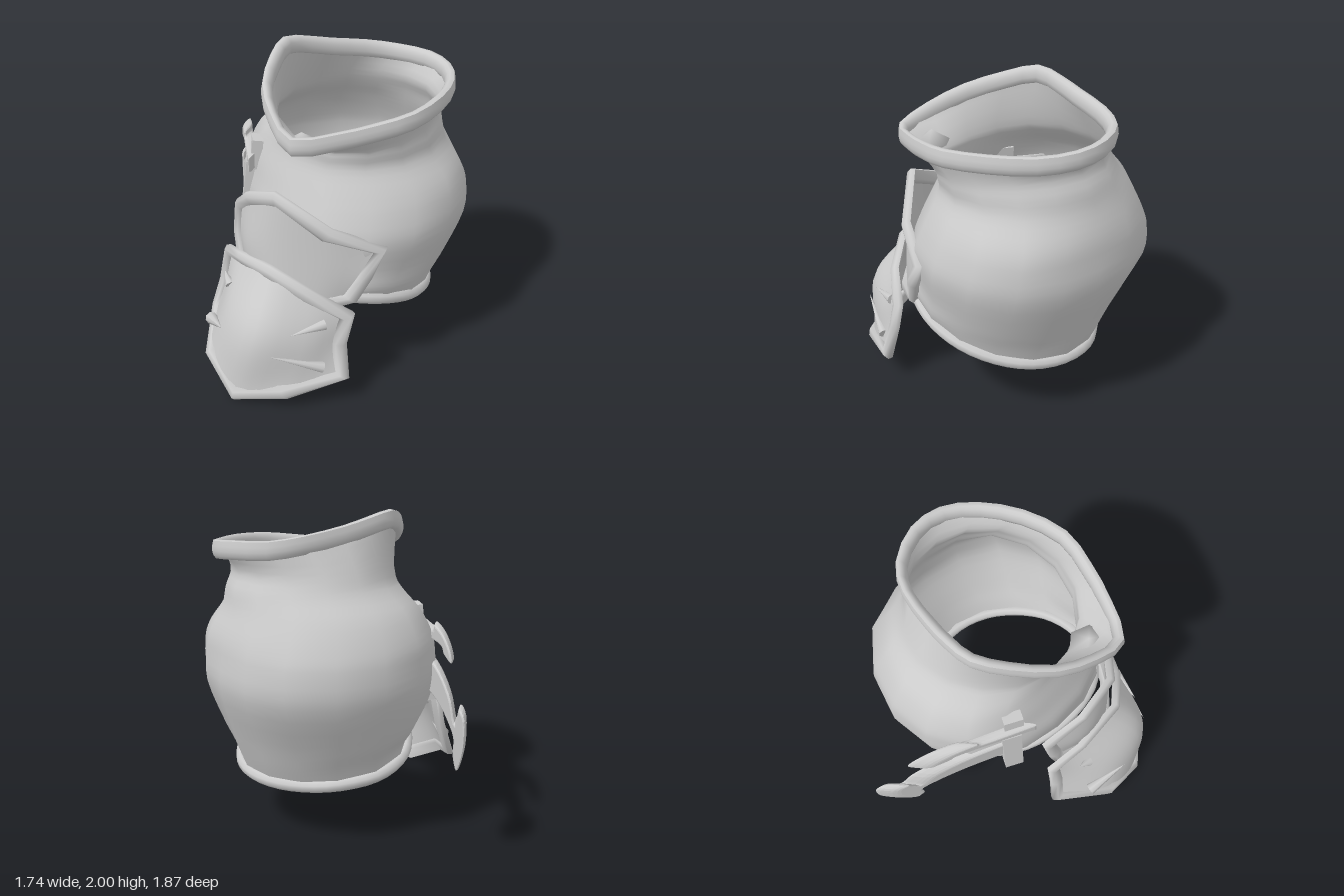
import * as THREE from 'three';

const material = new THREE.MeshStandardMaterial({ color: 0xcccccc, side: THREE.DoubleSide });
const UP = new THREE.Vector3(0, 1, 0);
const V = (p) => new THREE.Vector3(...p);
const spline = (pts, closed = false) => new THREE.CatmullRomCurve3(pts, closed, 'catmullrom', 0.5);

function add(parent, name, geometry, position = [0, 0, 0], rotation = [0, 0, 0]) {
  const mesh = new THREE.Mesh(geometry, material);
  mesh.name = name;
  mesh.position.set(...position);
  mesh.rotation.set(...rotation);
  parent.add(mesh);
  return mesh;
}

// Smooth surface through rows of points; closed rows make a shell
function loft(rows, nu, nv, closed) {
  const cols = closed ? nu : nu + 1;
  const curves = rows.map((row) => spline(row, closed));
  const positions = [], index = [];
  for (let i = 0; i < cols; i++) {
    const column = spline(curves.map((c) => c.getPoint(i / nu)));
    for (let j = 0; j <= nv; j++) positions.push(...column.getPoint(j / nv).toArray());
  }
  for (let i = 0; i < nu; i++) {
    for (let j = 0; j < nv; j++) {
      const a = i * (nv + 1) + j, b = ((i + 1) % cols) * (nv + 1) + j;
      index.push(a, b, b + 1, a, b + 1, a + 1);
    }
  }
  const geometry = new THREE.BufferGeometry();
  geometry.setAttribute('position', new THREE.Float32BufferAttribute(positions, 3));
  geometry.setIndex(index);
  geometry.computeVertexNormals();
  return geometry;
}

// Closed band: a section of [u, v] offsets carried round a loop, frame(p) giving the two directions
function band(points, section, frame, nu, nv) {
  const rows = [...section, section[0]].map(([u, v]) => points.map((p) => {
    const [du, dv] = frame(p);
    return p.clone().addScaledVector(du, u).addScaledVector(dv, v);
  }));
  return loft(rows, nu, nv, true);
}

// Curved armour plate with a raised, bevelled border following its outline
function plate(parent, name, data) {
  const group = new THREE.Group();
  group.name = name;
  const rows = data.map((row) => row.map(V));
  const last = rows.length - 1;
  add(group, name + 'Panel', loft([...rows].reverse(), 16, 12, false));
  const outline = [
    ...rows[0],
    ...rows.slice(1, last).map((r) => r[r.length - 1]),
    ...[...rows[last]].reverse(),
    ...rows.slice(1, last).reverse().map((r) => r[0]),
  ];
  const middle = outline.reduce((s, p) => s.add(p), new THREE.Vector3()).divideScalar(outline.length);
  const frame = (p) => {
    const normal = new THREE.Vector3(p.x + 0.1, 0, p.z + 0.1).normalize();
    const out = p.clone().sub(middle);
    return [out.addScaledVector(normal, -out.dot(normal)).normalize(), normal];
  };
  const section = [[0.045, -0.02], [0.05, 0.01], [0.02, 0.035], [-0.025, 0.03], [-0.05, 0], [-0.02, -0.02]];
  add(group, name + 'Border', band(outline, section, frame, outline.length, section.length));
  parent.add(group);
}

// Pointed spike between two points
function spike(parent, base, tip, radius) {
  const a = V(base), b = V(tip), d = b.clone().sub(a);
  const mesh = add(parent, 'spike', new THREE.ConeGeometry(radius, d.length(), 8));
  mesh.position.copy(a).addScaledVector(d, 0.5);
  mesh.quaternion.setFromUnitVectors(UP, d.normalize());
}

// Thin hooked blade: a front outline sheared so that it sweeps backwards
function hook(parent, name, outline) {
  const curve = new THREE.SplineCurve(outline.map((p) => new THREE.Vector2(...p)));
  const geometry = new THREE.ExtrudeGeometry(new THREE.Shape(curve.getPoints(48)), {
    depth: 0.05, bevelEnabled: true, bevelThickness: 0.05, bevelSize: 0.015, bevelOffset: -0.01, bevelSegments: 3,
  });
  const p = geometry.attributes.position;
  for (let i = 0; i < p.count; i++) p.setZ(i, p.getZ(i) - 0.02 + 2.1 * (p.getX(i) + 0.51));
  geometry.computeVertexNormals();
  add(parent, name, geometry);
}

export function createModel() {
  const model = new THREE.Group();
  model.name = 'shoulderArmour';

  // Body rings: centre x, centre z, radius x, radius z, height, extra height at the front,
  // then how far the back left, back right and front right bulge
  const sides = 16;
  const lobe = (t, centre) => Math.max(0, Math.cos(t - centre)) * Math.max(0, Math.cos(2 * (t - centre)));
  const rings = [
    [0.11, -0.05, 0.54, 0.58, 0.38, 0.27, 0.03, 0.13, -0.08],
    [0.12, -0.07, 0.57, 0.62, 0.5, 0.21, 0.01, 0.11, -0.08],
    [0.11, -0.12, 0.65, 0.65, 0.66, 0.15, -0.03, 0.07, -0.08],
    [0.12, -0.19, 0.74, 0.73, 0.95, 0.05, -0.09, 0.02, -0.1],
    [0.12, -0.22, 0.74, 0.71, 1.15, 0, -0.12, 0.01, -0.12],
    [0.11, -0.23, 0.71, 0.66, 1.28, 0, -0.1, 0, -0.12],
    [0.1, -0.22, 0.62, 0.59, 1.43, -0.02, -0.05, 0, -0.1],
    [0.14, -0.18, 0.545, 0.55, 1.55, -0.06, 0, 0, -0.04],
    [0.155, -0.145, 0.505, 0.535, 1.66, -0.11, 0, 0, 0],
  ].map(([cx, cz, rx, rz, y, lift, backLeft, backRight, frontRight]) =>
    Array.from({ length: sides }, (_, i) => {
      const t = (i / sides) * Math.PI * 2;
      const front = (1 + Math.cos(t)) / 2;
      // The lower edge also rises a little towards the right
      const rise = lift * front * front + 0.28 * Math.max(0, lift) * Math.max(0, -Math.sin(t));
      const f = 1 + backLeft * lobe(t, Math.PI * 0.75) + backRight * lobe(t, Math.PI * 1.25)
        + frontRight * lobe(t, Math.PI * 1.75);
      return new THREE.Vector3(cx + f * rx * Math.sin(t), y + rise, cz + f * rz * Math.cos(t));
    }));

  // Flared collar edge, from the front round by the left side
  const collar = [
    [-0.01, 1.65, 0.6], [0.21, 1.67, 0.51], [0.41, 1.7, 0.38], [0.58, 1.73, 0.23],
    [0.68, 1.75, -0.02], [0.7, 1.76, -0.28], [0.64, 1.78, -0.49], [0.49, 1.8, -0.63],
    [0.27, 1.81, -0.68], [0.08, 1.84, -0.61], [-0.1, 1.88, -0.46], [-0.22, 1.92, -0.34],
    [-0.32, 1.95, -0.2], [-0.33, 1.9, 0], [-0.29, 1.82, 0.25], [-0.17, 1.73, 0.46],
  ].map(V);
  add(model, 'body', loft([...rings, collar], sides, 30, true));

  const collarSection = [[0.03, 0.05], [0.04, -0.01], [0.02, -0.055], [-0.025, -0.045], [-0.03, 0.02], [0, 0.055]];
  const radial = (p) => [new THREE.Vector3(p.x - 0.17, 0, p.z + 0.1).normalize(), UP];
  add(model, 'collarRim', band(collar, collarSection, radial, 32, 12));
  add(model, 'bottomRim', new THREE.TubeGeometry(spline(rings[0], true), 48, 0.038, 8, true));
  add(model, 'collarStud', new THREE.SphereGeometry(0.12, 6, 2), [-0.02, 1.585, 0.43]).scale.y = 0.65;

  // Overlapping front plates, rows from top to bottom and from right to left side
  plate(model, 'upperPlate', [
    [[-0.49, 1.03, 0.26], [-0.34, 1.19, 0.45], [-0.13, 1.29, 0.59], [0.18, 1.09, 0.57], [0.47, 0.97, 0.44]],
    [[-0.49, 0.86, 0.3], [-0.36, 0.9, 0.5], [-0.15, 0.95, 0.61], [0.15, 0.85, 0.59], [0.39, 0.79, 0.5]],
    [[-0.46, 0.66, 0.33], [-0.34, 0.66, 0.5], [-0.15, 0.6, 0.63], [0.1, 0.6, 0.61], [0.31, 0.64, 0.52]],
  ]);
  plate(model, 'lowerPlate', [
    [[-0.56, 0.7, 0.31], [-0.4, 0.77, 0.48], [-0.15, 0.83, 0.67], [0.1, 0.71, 0.68], [0.32, 0.58, 0.62]],
    [[-0.59, 0.5, 0.34], [-0.44, 0.51, 0.69], [-0.18, 0.5, 0.9], [0.1, 0.44, 0.81], [0.28, 0.4, 0.66]],
    [[-0.65, 0.3, 0.36], [-0.55, 0.2, 0.72], [-0.32, 0.05, 0.9], [0, 0.13, 0.89], [0.32, 0.2, 0.71]],
  ]);

  // Spikes on the lower plate
  spike(model, [0.21, 0.27, 0.76], [-0.07, 0.4, 0.92], 0.035);
  spike(model, [0.2, 0.54, 0.69], [0.03, 0.52, 0.84], 0.035);
  spike(model, [-0.6, 0.34, 0.58], [-0.43, 0.45, 0.8], 0.04);
  spike(model, [-0.47, 0.6, 0.54], [-0.53, 0.66, 0.48], 0.035);

  // Swept-back hooks and their mounts on the right side
  hook(model, 'upperHook', [
    [-0.46, 1.31], [-0.6, 1.3], [-0.625, 1.335], [-0.69, 1.31], [-0.74, 1.25], [-0.755, 1.19],
    [-0.7, 1.21], [-0.66, 1.25], [-0.46, 1.22],
  ]);
  hook(model, 'lowerHook', [
    [-0.54, 1.13], [-0.66, 1.08], [-0.75, 0.98], [-0.79, 0.86], [-0.81, 0.9], [-0.825, 0.96],
    [-0.86, 0.92], [-0.86, 0.76], [-0.82, 0.6], [-0.79, 0.66], [-0.79, 0.77], [-0.73, 0.85],
    [-0.65, 0.9], [-0.54, 0.92],
  ]);
  add(model, 'upperMount', new THREE.BoxGeometry(0.07, 0.2, 0.12), [-0.465, 1.3, 0.03], [0, 0.4, -0.12]);
  add(model, 'lowerMount', new THREE.BoxGeometry(0.07, 0.46, 0.12), [-0.53, 1.01, 0.03], [0, 0.4, -0.12]);

  return model;
}
